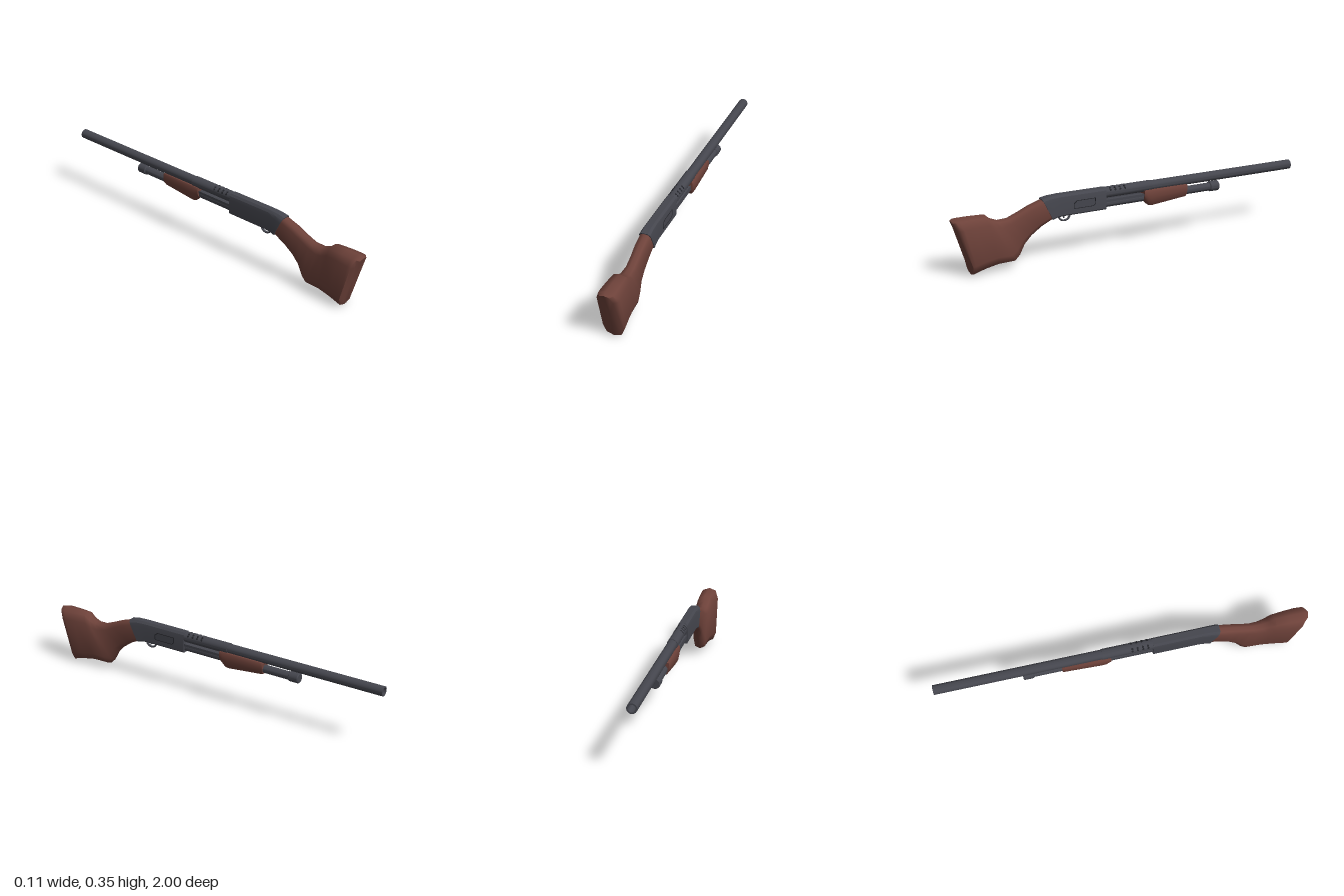
import * as THREE from 'three';
import { toCreasedNormals } from 'three/addons/utils/BufferGeometryUtils.js';

const mat = (name, color) => {
  const m = new THREE.MeshStandardMaterial({ color });
  m.name = name;
  return m;
};

// Lofts a mirrored cross-section through slices ordered by rising z.
// half: [x, t] points from bottom centre to top centre; slice: [topZ, topY, bottomZ, bottomY, halfWidth, sag]
function loft(half, slices, crease) {
  const ring = [...half, ...half.slice(1, -1).reverse().map(([u, t]) => [-u, t])];
  const n = ring.length, pos = [], idx = [];
  const point = ([tz, ty, bz, by, w, sag = 0], [u, t]) =>
    pos.push(u * w, by + (ty - by) * t, bz + (tz - bz) * t - sag * 4 * t * (1 - t));
  slices.forEach(s => ring.forEach(p => point(s, p)));
  for (let i = 0; i < slices.length - 1; i++) {
    for (let j = 0; j < n; j++) {
      const k = (j + 1) % n, a = i * n + j, b = i * n + k;
      idx.push(a, b, b + n, a, b + n, a + n);
    }
  }
  const last = (slices.length - 1) * n, c = slices.length * n;
  point(slices[0], [0, 0.5]);
  point(slices[slices.length - 1], [0, 0.5]);
  for (let j = 0; j < n; j++) {
    const k = (j + 1) % n;
    idx.push(c, k, j, c + 1, last + j, last + k);
  }
  const g = new THREE.BufferGeometry();
  g.setAttribute('position', new THREE.Float32BufferAttribute(pos, 3));
  g.setIndex(idx);
  return toCreasedNormals(g, crease);
}

export function createModel() {
  const group = new THREE.Group();
  const wood = mat('wood', 0x6e423a);
  const metal = mat('gunmetal', 0x45464e);
  const dark = mat('darkRecess', 0x232429);

  const add = (name, geometry, material, x = 0, y = 0, z = 0) => {
    const m = new THREE.Mesh(geometry, material);
    m.name = name;
    m.position.set(x, y, z);
    group.add(m);
    return m;
  };
  // Turned part along z; profile is [radius, z] running from the -z end to the +z end
  const turned = (name, profile, y) => {
    const g = new THREE.LatheGeometry(profile.map(([r, z]) => new THREE.Vector2(r, z)), 18);
    g.rotateX(Math.PI / 2);
    return add(name, toCreasedNormals(g, 0.6), metal, 0, y, 0);
  };

  // Shoulder stock with wrist, comb and flared, slightly hollowed butt
  const oval = [[0, 0], [0.7, 0.043], [1, 0.18], [1, 0.82], [0.7, 0.957], [0, 1]];
  add('stock', loft(oval, [
    [0.5, 0.344, 0.44, 0.236, 0.029],
    [0.58, 0.318, 0.52, 0.197, 0.03],
    [0.635, 0.294, 0.575, 0.157, 0.029],
    [0.7, 0.269, 0.612, 0.117, 0.03],
    [0.755, 0.268, 0.64, 0.062, 0.035],
    [0.795, 0.284, 0.668, 0.034, 0.04],
    [0.822, 0.308, 0.76, 0.033, 0.046, 0.004],
    [0.9, 0.311, 0.835, 0.02, 0.053, 0.008],
    [0.965, 0.311, 0.885, 0.006, 0.057, 0.013],
    [0.985, 0.31, 0.9, 0.0, 0.055, 0.014],
    [1.0, 0.304, 0.912, 0.016, 0.036, 0.015],
  ], 0.95), wood);

  // Receiver, with a rounded top and sloping tail
  const boxy = [[0, 0], [0.85, 0], [1, 0.06], [1, 0.74], [0.88, 0.9], [0.55, 1], [0, 1]];
  add('receiver', loft(boxy, [
    [0.155, 0.354, 0.155, 0.24, 0.029],
    [0.42, 0.355, 0.4, 0.24, 0.029],
    [0.475, 0.352, 0.43, 0.238, 0.031],
    [0.515, 0.344, 0.46, 0.23, 0.033],
  ], 0.5), metal);

  // Ejection port on the left side: slanted thin frame with a flat cover inside
  const port = s => {
    const p = new THREE.Shape();
    [[-0.062, -0.022], [0.05, -0.022], [0.062, -0.012], [0.062, 0.022], [-0.045, 0.022], [-0.062, 0.008]]
      .forEach(([x, y], i) => p[i ? 'lineTo' : 'moveTo'](x - Math.sign(x) * s, y - Math.sign(y) * s));
    p.closePath();
    return p;
  };
  const frame = port(0);
  frame.holes.push(port(0.003));
  add('ejectionPortFrame', new THREE.ExtrudeGeometry(frame, { depth: 0.003, bevelEnabled: false }),
    dark, 0.0275, 0.293, 0.28).rotation.y = Math.PI / 2;
  add('ejectionPortCover', new THREE.ExtrudeGeometry(port(0.003), { depth: 0.002, bevelEnabled: false }),
    metal, 0.0275, 0.293, 0.28).rotation.y = Math.PI / 2;

  // Trigger guard and trigger
  const guard = add('triggerGuard', new THREE.TorusGeometry(0.032, 0.005, 8, 20, Math.PI), metal, 0, 0.24, 0.385);
  guard.rotation.set(Math.PI, Math.PI / 2, 0);
  guard.scale.z = 1.4;
  add('trigger', new THREE.BoxGeometry(0.007, 0.024, 0.006), metal, 0, 0.233, 0.39).rotation.x = 0.3;

  // Hollow barrel
  turned('barrel', [[0, -0.9], [0.019, -0.9], [0.019, -1], [0.026, -1], [0.026, 0.16]], 0.326);

  // Ventilated shroud over the rear of the barrel
  turned('barrelShroud', [[0.025, -0.115], [0.029, -0.115], [0.029, 0.16]], 0.326);
  const hole = new THREE.CylinderGeometry(0.006, 0.006, 0.002, 8);
  for (const side of [-1, 1]) {
    for (const angle of [0.55, 1.0]) {
      for (let i = 0; i < 4; i++) {
        const a = side * angle;
        add('shroudVent', hole, dark, 0.0288 * Math.sin(a), 0.326 + 0.0288 * Math.cos(a), 0.045 + i * 0.028)
          .rotation.z = -a;
      }
    }
  }

  // Magazine tube with its end cap
  turned('magazineTube', [[0.022, -0.5], [0.022, 0.16]], 0.267);
  turned('magazineCap', [[0, -0.535], [0.024, -0.535], [0.028, -0.53], [0.028, -0.482], [0.022, -0.478]], 0.268);

  // Action bars linking the pump to the receiver
  for (const x of [-0.021, 0.021]) {
    add('actionBar', new THREE.BoxGeometry(0.005, 0.014, 0.3), metal, x, 0.284, 0.01);
  }

  // Sliding pump grip
  const trough = [[0, 0], [0.5, 0.03], [0.85, 0.25], [1, 0.55], [1, 0.9], [0.85, 1], [0, 1]];
  add('pumpGrip', loft(trough, [
    [-0.33, 0.305, -0.328, 0.24, 0.029],
    [-0.32, 0.309, -0.32, 0.237, 0.031],
    [-0.12, 0.31, -0.12, 0.217, 0.034],
    [-0.09, 0.31, -0.1, 0.22, 0.034],
    [-0.07, 0.309, -0.07, 0.25, 0.032],
  ], 0.7), wood);

  return group;
}
